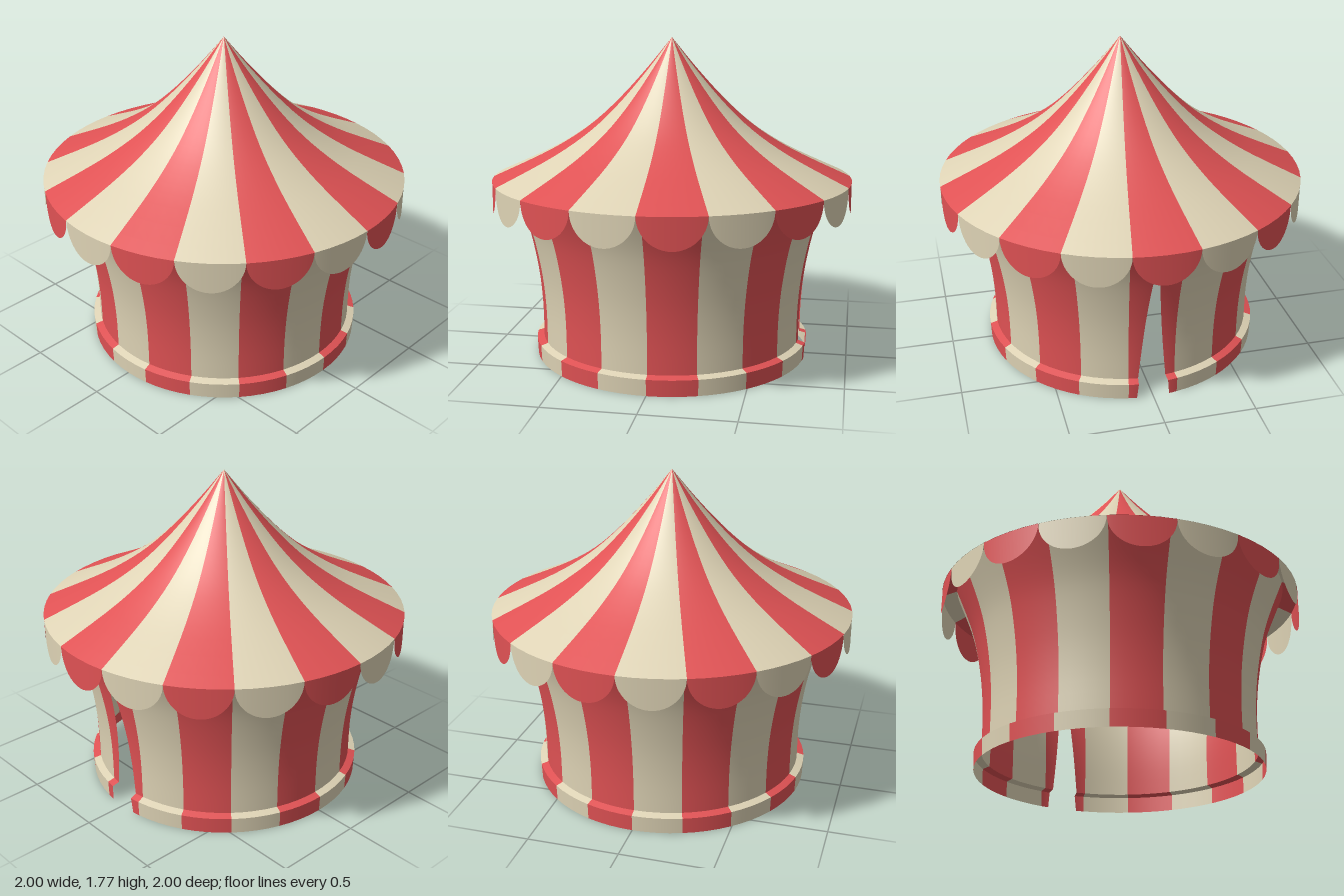
import * as THREE from 'three';

const STRIPES = 18;
const STEP = (Math.PI * 2) / STRIPES;
const DOOR = STRIPES / 2; // stripe at the back, split by the entrance slit

const cream = new THREE.MeshStandardMaterial({ color: 0xded3b5, side: THREE.DoubleSide });
const red = new THREE.MeshStandardMaterial({ color: 0xe05254, side: THREE.DoubleSide });

const vec = (pts) => pts.map(([r, y]) => new THREE.Vector2(r, y));
const smooth = (pts, n) => new THREE.SplineCurve(vec(pts)).getPoints(n);

// half angle of the entrance slit at height y: wide at the ground, closed under the eaves
const slit = (y) => 0.116 * Math.max(0, 1 - y / 0.9);

// one sector of a turned surface, from angle a0 to a1 (0 = front)
function sector(profile, a0, a1, segments = 4) {
  return new THREE.LatheGeometry(profile, segments, a0, a1 - a0);
}

// re-place each vertex: fn(t, y) gives its new angle and height, t = 0..1 across the sector
function reshape(geo, a0, a1, fn) {
  const p = geo.attributes.position, uv = geo.attributes.uv;
  for (let i = 0; i < p.count; i++) {
    const r = Math.hypot(p.getX(i), p.getZ(i));
    const [a, y] = fn(uv.getX(i), p.getY(i));
    p.setXYZ(i, r * Math.sin(a), y, r * Math.cos(a));
  }
  return geo;
}

// striped ring of sectors; with a door the back stripe becomes two curtain halves
function striped(name, profile, door = false) {
  const group = new THREE.Group();
  group.name = name;
  const add = (geo, i, label) => {
    const mesh = new THREE.Mesh(geo, i % 2 ? red : cream);
    mesh.name = label;
    group.add(mesh);
  };
  for (let i = 0; i < STRIPES; i++) {
    const mid = i * STEP, a0 = mid - STEP / 2, a1 = mid + STEP / 2;
    if (door && i === DOOR) {
      for (const side of [-1, 1]) {
        const [b0, b1] = side < 0 ? [a0, mid] : [mid, a1];
        const geo = reshape(sector(profile, b0, b1, 3), b0, b1, (t, y) =>
          side < 0
            ? [THREE.MathUtils.lerp(a0, mid - slit(y), t), y]
            : [THREE.MathUtils.lerp(mid + slit(y), a1, t), y]);
        add(geo, i, name + 'DoorFlap');
      }
    } else {
      add(sector(profile, a0, a1), i, name + 'Stripe');
    }
  }
  return group;
}

// hanging half-round flaps below the eaves
function valance() {
  const group = new THREE.Group();
  group.name = 'valance';
  for (let i = 0; i < STRIPES; i++) {
    const mid = i * STEP, a0 = mid - STEP / 2, a1 = mid + STEP / 2;
    const geo = reshape(sector(vec([[0.998, 0], [0.998, 1]]), a0, a1, 24), a0, a1, (t, y) => {
      const s = (t - 0.5) * Math.PI;
      return [mid + Math.sin(s) * STEP / 2, 1 - (1 - y) * 0.17 * Math.cos(s)];
    });
    const mesh = new THREE.Mesh(geo, i % 2 ? red : cream);
    mesh.name = 'scallop';
    group.add(mesh);
  }
  return group;
}

export function createModel() {
  const model = new THREE.Group();
  model.name = 'stripedTent';

  // swept roof
  const roof = smooth([[1, 1], [0.73, 1.125], [0.56, 1.22], [0.42, 1.32], [0.28, 1.45], [0.13, 1.615], [0, 1.775]], 18);
  model.add(striped('roof', roof));

  // scalloped edge
  model.add(valance());

  // walls flaring up to the roof
  const wall = smooth([[0.735, 0.1], [0.738, 0.3], [0.755, 0.49], [0.792, 0.69], [0.838, 0.84], [0.92, 1.035]], 20);
  model.add(striped('wall', wall, true));

  // ground skirt and its sloping ledge
  model.add(striped('skirt', vec([[0.77, 0], [0.774, 0.09]]), true));
  model.add(striped('skirtLedge', vec([[0.774, 0.09], [0.735, 0.102]]), true));

  return model;
}
